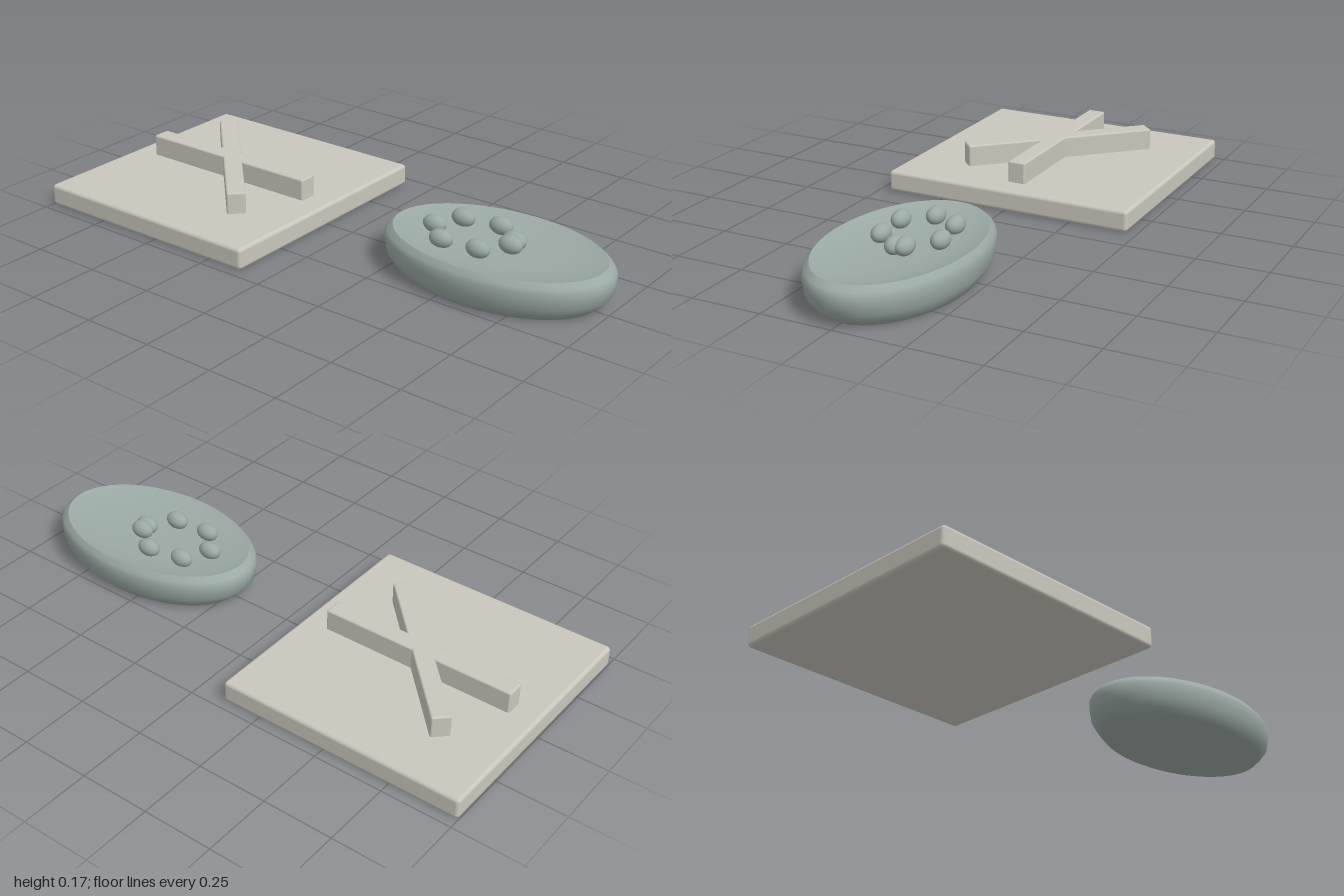
import * as THREE from 'three';
import { RoundedBoxGeometry } from 'three/addons/geometries/RoundedBoxGeometry.js';

const stone = new THREE.MeshStandardMaterial({ color: 0xc9c7bc });
stone.name = 'pale stone';
const glaze = new THREE.MeshStandardMaterial({ color: 0x9ba9a5 });
glaze.name = 'grey green glaze';

function add(parent, name, geometry, material, x = 0, y = 0, z = 0) {
  const mesh = new THREE.Mesh(geometry, material);
  mesh.name = name;
  mesh.position.set(x, y, z);
  parent.add(mesh);
  return mesh;
}

const lathe = (points) =>
  new THREE.LatheGeometry(points.map(([r, y]) => new THREE.Vector2(r, y)), 64);

export function createModel() {
  const model = new THREE.Group();
  model.name = 'tileAndDish';

  // Square slab with two crossed bars on top
  const tile = new THREE.Group();
  tile.name = 'tile';
  tile.position.set(-0.553, 0, 0);
  model.add(tile);
  add(tile, 'slab', new RoundedBoxGeometry(0.894, 0.076, 0.928, 3, 0.013), stone, 0, 0.038, 0);
  const bar = new RoundedBoxGeometry(0.71, 0.084, 0.066, 2, 0.007);
  add(tile, 'straightBar', bar, stone, 0, 0.111, -0.003);
  add(tile, 'diagonalBar', bar, stone, 0, 0.111, -0.003).rotation.y = -THREE.MathUtils.degToRad(46);

  // Oval dish: round profiles stretched along x
  const dish = new THREE.Group();
  dish.name = 'dish';
  dish.position.set(0.588, 0, 0);
  model.add(dish);
  const shell = add(dish, 'dishShell', lathe([
    [0, 0], [0.865, 0], [0.925, 0.022], [0.98, 0.048], [0.995, 0.08], [1, 0.105], [0.975, 0.121], [0.925, 0.137],
  ]), glaze);
  const hollow = add(dish, 'dishHollow', lathe([
    [0.925, 0.137], [0.8, 0.125], [0.6, 0.114], [0.35, 0.107], [0, 0.104],
  ]), glaze);
  for (const part of [shell, hollow]) part.scale.set(0.412, 1, 0.254);

  // Ring of oval beads resting in the hollow
  const beads = [
    [0.398, -0.085], [0.532, -0.106], [0.628, -0.034], [0.634, -0.002],
    [0.568, 0.087], [0.432, 0.095], [0.35, 0.012],
  ];
  const beadGeometry = new THREE.SphereGeometry(1, 24, 16);
  beads.forEach(([x, z], i) => {
    add(dish, `bead${i + 1}`, beadGeometry, glaze, x - 0.588, 0.137, z).scale.set(0.043, 0.031, 0.03);
  });

  return model;
}
